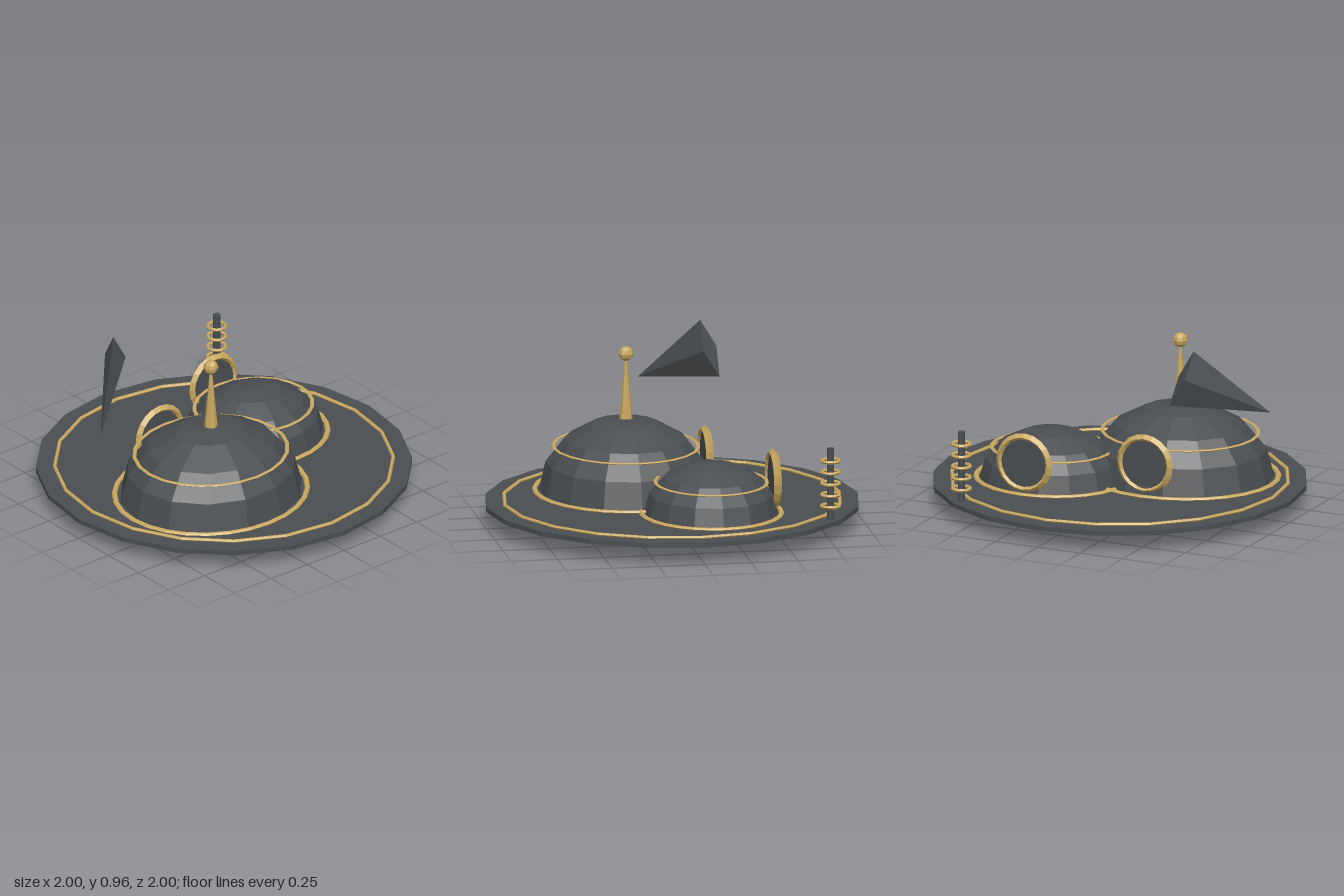
import * as THREE from 'three';
import { ConvexGeometry } from 'three/addons/geometries/ConvexGeometry.js';

export function createModel() {
  const model = new THREE.Group();
  const slate = new THREE.MeshStandardMaterial({ color: 0x4a4e51, flatShading: true });
  slate.name = 'slate grey';
  const gold = new THREE.MeshStandardMaterial({ color: 0xc9a860, flatShading: true });
  gold.name = 'pale gold';

  function add(name, geometry, material, x, y, z, parent = model) {
    const mesh = new THREE.Mesh(geometry, material);
    mesh.name = name;
    mesh.position.set(x, y, z);
    parent.add(mesh);
    return mesh;
  }

  // Horizontal ring, optionally squashed in height and depth
  function ring(radius, tube, segments, height = 1, depth = 1) {
    return new THREE.TorusGeometry(radius, tube, 6, segments)
      .rotateX(Math.PI / 2).scale(1, height, depth);
  }

  // Base plate with inlaid border
  const top = 0.121;
  add('basePlate', new THREE.CylinderGeometry(1, 1, 0.026, 20), slate, 0, top - 0.013, 0);
  add('baseBorder', ring(0.9, 0.01, 20), gold, 0, 0.127, 0);

  // Domes: oval shell, foot ring, belt ring and round rear doorway
  function dome(name, x, z, radius, height, doorZ) {
    const group = new THREE.Group();
    group.name = name;
    group.position.set(x, top, z);
    model.add(group);
    const depth = 0.91;
    const shell = new THREE.SphereGeometry(1, 14, 4, 0, Math.PI * 2, 0, Math.PI / 2)
      .scale(radius, height, radius * depth);
    add('domeShell', shell, slate, 0, 0, 0, group);
    add('footRing', ring(radius * 1.05, 0.015, 28, 0.7, depth), gold, 0, 0.005, 0, group);
    add('beltRing', ring(radius * 0.835, 0.011, 24, 0.45, depth), gold, 0, height * 0.61, 0, group);
    const doorY = 0.171;
    add('doorFrame', new THREE.TorusGeometry(0.143, 0.021, 4, 20), gold, 0, doorY, doorZ - z, group);
    add('doorPanel', new THREE.CylinderGeometry(0.143, 0.143, 0.016, 20).rotateX(Math.PI / 2),
      slate, 0, doorY, doorZ - z, group);
  }
  dome('largeDome', -0.257, 0.203, 0.506, 0.398, -0.226);
  dome('smallDome', 0.328, -0.153, 0.39, 0.278, -0.488);

  // Spire on the large dome
  add('spire', new THREE.CylinderGeometry(0.007, 0.036, 0.33, 8), gold, -0.257, 0.675, 0.203);
  add('spireBall', new THREE.SphereGeometry(0.04, 8, 6), gold, -0.257, 0.866, 0.203);

  // Ringed mast at the rear edge
  add('mast', new THREE.CylinderGeometry(0.02, 0.02, 0.39, 8), slate, 0.57, 0.311, -0.753);
  for (let i = 0; i < 5; i++) {
    add('mastRing', ring(0.048, 0.009, 14), gold, 0.57, 0.191 + i * 0.0615, -0.753);
  }

  // Shards: four-sided pyramids, the fourth base corner closes a parallelogram
  function shard(name, tip, a, b, c) {
    const [t, p, q, r] = [tip, a, b, c].map((v) => new THREE.Vector3(...v));
    const s = p.clone().add(r).sub(q);
    add(name, new ConvexGeometry([t, p, q, r, s]), slate, 0, 0, 0);
  }
  shard('floatingShard', [-0.873, 0.588, 0.03], [-0.555, 0.96, -0.25],
    [-0.468, 0.81, -0.252], [-0.455, 0.67, -0.337]);
  shard('lowerShard', [-0.31, 0.004, 0.115], [-0.06, 0.27, -0.11],
    [0.015, 0.13, -0.115], [0.02, 0.018, -0.183]);

  return model;
}
